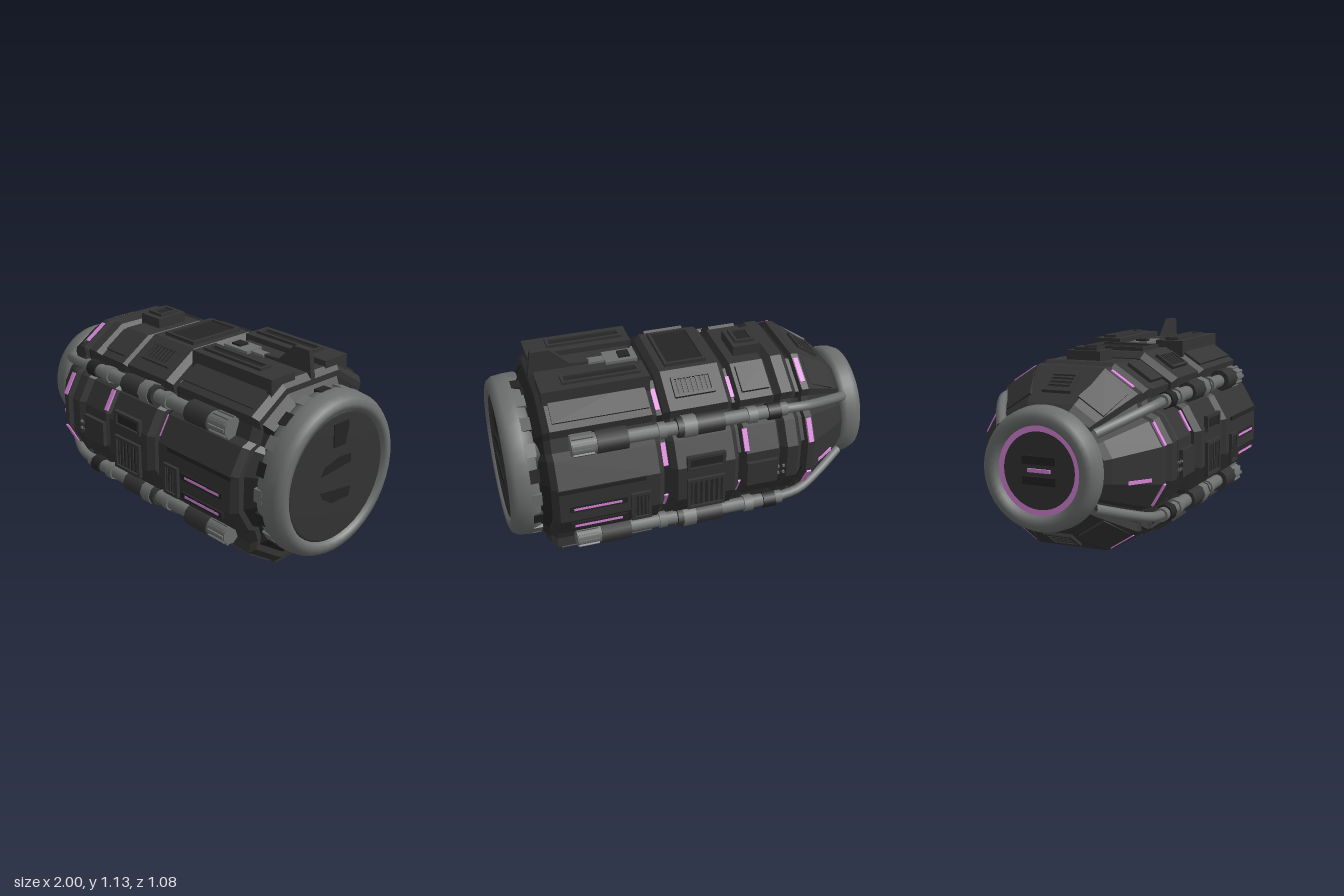
import * as THREE from 'three';

const CY = 0.515; // height of the long axis
const mk = (name, color) => Object.assign(new THREE.MeshStandardMaterial({ color }), { name });

export function createModel() {
  const root = new THREE.Group();
  root.name = 'capsule';
  const hull = mk('charcoal hull', 0x343434);
  const dark = mk('dark recess', 0x242424);
  const steel = mk('worn steel', 0x6c6f6e);
  const glow = mk('violet glow', 0xdc86dc);

  const add = (name, geo, mat, parent = root) => {
    const m = new THREE.Mesh(geo, mat);
    m.name = name;
    parent.add(m);
    return m;
  };
  const box = (name, mat, x, y, z, w, h, d, parent) => {
    const m = add(name, new THREE.BoxGeometry(w, h, d), mat, parent);
    m.position.set(x, y, z);
    return m;
  };

  // Hull cross-section: one quarter as [z, y], mirrored; the notch carries the pipes
  const quarter = [[0.525, 0.1], [0.45, 0.23], [0.405, 0.25], [0.38, 0.32], [0.39, 0.37], [0.2, 0.495]];
  const flip = [...quarter].reverse();
  const section = [
    ...quarter, ...flip.map(([z, y]) => [-z, y]),
    ...quarter.map(([z, y]) => [-z, -y]), ...flip.map(([z, y]) => [z, -y]),
  ];

  // Loft the section through stations [x, scale], capped and faceted
  function loft(name, mat, stations) {
    const n = section.length, pos = [], idx = [];
    for (const [x, s] of stations) for (const [z, y] of section) pos.push(x, CY + y * s, z * s);
    for (let k = 0; k < stations.length - 1; k++) {
      for (let i = 0; i < n; i++) {
        const a = k * n + i, b = k * n + (i + 1) % n;
        idx.push(a, b, a + n, b, b + n, a + n);
      }
    }
    const c0 = pos.length / 3, last = (stations.length - 1) * n;
    pos.push(stations[0][0], CY, 0, stations.at(-1)[0], CY, 0);
    for (let i = 0; i < n; i++) {
      const j = (i + 1) % n;
      idx.push(c0, j, i, c0 + 1, last + i, last + j);
    }
    // the section turns from +z to +y, so reverse to face outward
    for (let i = 0; i < idx.length; i += 3) [idx[i + 1], idx[i + 2]] = [idx[i + 2], idx[i + 1]];
    const g = new THREE.BufferGeometry();
    g.setAttribute('position', new THREE.Float32BufferAttribute(pos, 3));
    g.setIndex(idx);
    const flat = g.toNonIndexed();
    // check the signed volume once so faces always point outward
    const p = flat.attributes.position, v = [0, 1, 2].map(() => new THREE.Vector3());
    let vol = 0;
    for (let i = 0; i < p.count; i += 3) {
      v.forEach((q, k) => q.fromBufferAttribute(p, i + k));
      vol += v[0].dot(v[1].clone().cross(v[2]));
    }
    if (vol < 0) {
      for (let i = 0; i < p.count; i += 3) {
        v.forEach((q, k) => q.fromBufferAttribute(p, i + k));
        p.setXYZ(i + 1, v[2].x, v[2].y, v[2].z);
        p.setXYZ(i + 2, v[1].x, v[1].y, v[1].z);
      }
    }
    flat.computeVertexNormals();
    return add(name, flat, mat);
  }

  const band = (name, x0, x1, s, b = 0.03) =>
    loft(name, hull, [[x0, s - 0.06], [x0 + b, s], [x1 - b, s], [x1, s - 0.06]]);
  loft('innerCore', dark, [[-0.86, 0.58], [-0.62, 0.87], [-0.2, 0.88], [0.8, 0.88], [0.84, 0.78]]);
  loft('noseCone', hull, [[-0.87, 0.56], [-0.84, 0.62], [-0.62, 0.93], [-0.58, 0.94], [-0.575, 0.88]]);
  band('frontBand', -0.55, -0.43, 0.96);
  band('frontSection', -0.435, -0.215, 0.94, 0.02);
  band('middleSection', -0.19, 0.18, 1);
  band('rearSection', 0.215, 0.8, 1, 0.03);

  // Anchor on the hull: angle a from +z towards +y, distance r, sideways offset, tilt along x
  function anchor(name, x, a, r, off = 0, tilt = 0) {
    const g = new THREE.Group(), inner = new THREE.Group();
    g.name = name;
    g.position.set(x, CY + r * Math.sin(a) + off * Math.cos(a), r * Math.cos(a) - off * Math.sin(a));
    g.rotation.x = -a;
    inner.rotation.y = -tilt;
    g.add(inner);
    root.add(g);
    return inner;
  }
  const plate = (name, mat, x, a, r, off, w, h, t = 0.01, tilt = 0) =>
    box(name, mat, 0, 0, 0, w, h, t, anchor(name, x, a, r, off, tilt));
  function frame(name, x, a, r, off, w, h, tilt = 0, slats = 0) {
    const g = anchor(name, x, a, r, off, tilt), e = 0.016;
    box('recess', dark, 0, 0, 0, w, h, 0.008, g);
    for (const s of [-1, 1]) {
      box('rim', hull, s * w / 2, 0, 0.004, e, h + e, 0.022, g);
      box('rim', hull, 0, s * h / 2, 0.004, w, e, 0.022, g);
    }
    for (let i = 0; i < slats; i++) box('slat', hull, ((i + 0.5) / slats - 0.5) * w * 0.9, 0, 0.004, w * 0.4 / slats, h * 0.85, 0.012, g);
  }

  // Side panels, mirrored front and back (a = 0 or PI; k keeps offsets upright)
  const SH = 0.99, FL = 0.523; // shoulder and flank face angles
  for (const k of [1, -1]) {
    const a = k > 0 ? 0 : Math.PI;
    frame('sideVent', 0, a, 0.527, -0.065 * k, 0.19, 0.17, 0, 6);
    frame('sideHatch', 0, a, 0.523, 0.125 * k, 0.19, 0.07);
    frame('rearVent', 0.35, a, 0.527, -0.075 * k, 0.09, 0.15, 0, 4);
    for (const y of [-0.025, -0.13]) {
      plate('glowSlotFrame', dark, 0.57, a, 0.522, y * k, 0.3, 0.035, 0.02);
      plate('glowSlot', glow, 0.575, a, 0.529, y * k, 0.25, 0.014, 0.009);
    }
    plate('rearRail', dark, 0.55, a, 0.52, 0.09 * k, 0.46, 0.022, 0.025);
    plate('frontBlock', hull, -0.32, a, 0.495, -0.03 * k, 0.17, 0.14, 0.04);
    for (let i = 0; i < 4; i++) plate('rivet', steel, -0.44 + (i % 2) * 0.03, a, 0.508, (-0.055 + 0.04 * (i >> 1)) * k, 0.012, 0.012, 0.012);
    plate('noseGlow', glow, -0.72, a, 0.416, -0.065 * k, 0.13, 0.018, 0.009, 0.6);

    // Shoulders and flanks, mirrored above and below
    for (const u of [1, -1]) {
      const at = (q) => (k > 0 ? u * q : Math.PI - u * q), m = k * u;
      frame('shoulderVent', 0, at(SH), 0.526, 0, 0.2, 0.1, 0, 7);
      plate('shoulderPanel', hull, -0.33, at(SH), 0.495, 0, 0.15, 0.15, 0.03);
      plate('rearShoulderPanel', hull, 0.5, at(SH), 0.525, 0, 0.5, 0.17, 0.02);
      plate('shoulderGlow', glow, -0.203, at(SH), 0.466, -0.02 * m, 0.03, 0.12, 0.01);
      plate('shoulderGlow', glow, 0.198, at(SH), 0.466, -0.02 * m, 0.026, 0.12, 0.01);
      plate('noseGlow', glow, -0.598, at(SH), 0.49, 0, 0.026, 0.14, 0.009);
      plate('flankGlow', glow, -0.598, at(FL), 0.477, -0.1 * m, 0.026, 0.13, 0.009);
      plate('flankGlow', glow, 0.198, at(FL), 0.45, -0.09 * m, 0.026, 0.12, 0.01);
      plate('flankGlow', glow, u > 0 ? -0.238 : -0.203, at(FL), u > 0 ? 0.476 : 0.45, -0.09 * m, 0.026, 0.12, 0.01);
      plate('noseShoulderPanel', hull, -0.72, at(SH), 0.411, 0, 0.2, 0.16, 0.015, 0.6);

      // Pipe run in the hull notch
      const y = CY + u * 0.29, z = k * 0.425;
      const tube = (name, mat, x0, x1, r, seg = 12) => {
        const c = add(name, new THREE.CylinderGeometry(r, r, x1 - x0, seg), mat);
        c.rotation.z = -Math.PI / 2;
        c.position.set((x0 + x1) / 2, y, z);
      };
      tube('pipe', steel, -0.47, 0.4, 0.036);
      tube('pipeCollar', dark, -0.43, -0.36, 0.046, 8);
      tube('pipeCollar', steel, -0.3, -0.25, 0.046, 8);
      tube('pipeSleeve', hull, -0.12, 0.13, 0.055, 8);
      tube('pipeClamp', steel, 0.03, 0.1, 0.06, 8);
      tube('pipeCollar', steel, 0.19, 0.23, 0.045);
      tube('thrusterSleeve', hull, 0.39, 0.55, 0.062, 10);
      tube('thrusterTip', steel, 0.54, 0.68, 0.052, 16);
      for (let i = 0; i < 10; i++) {
        const t = i * Math.PI / 5;
        const rib = box('thrusterRib', steel, 0.62, y + 0.053 * Math.sin(t), z + 0.053 * Math.cos(t), 0.11, 0.014, 0.014);
        rib.rotation.x = -t;
      }
      const path = new THREE.CatmullRomCurve3([[-0.45, 0.29, 0.425], [-0.58, 0.275, 0.41], [-0.72, 0.235, 0.345], [-0.88, 0.18, 0.25]]
        .map(([px, py, pz]) => new THREE.Vector3(px, CY + u * py, k * pz)));
      add('nosePipe', new THREE.TubeGeometry(path, 12, 0.026, 8), steel);
    }

    // Roof blocks and swept fins
    box('roofBlock', hull, 0.5, 0.995, k * 0.19, 0.56, 0.09, 0.16);
    frame('roofBlockInset', 0.46, Math.PI / 2, 0.525, -k * 0.19, 0.39, 0.06);
    const fin = new THREE.Group();
    fin.name = 'sweptFin';
    fin.position.set(0, 0.885, k * 0.33);
    fin.rotation.x = k * 0.45;
    const finGeo = (pts, d) => new THREE.ExtrudeGeometry(new THREE.Shape(pts.map(([px, py]) => new THREE.Vector2(px, py))),
      { depth: d, bevelEnabled: false }).translate(0, 0, -d / 2);
    add('finBlade', finGeo([[0.4, 0], [0.8, 0], [0.78, 0.06], [0.8, 0.3], [0.66, 0.3], [0.55, 0.13]], 0.026), hull, fin);
    add('finInset', finGeo([[0.58, 0.06], [0.75, 0.06], [0.765, 0.26], [0.69, 0.26]], 0.032), dark, fin);
    box('finRoot', hull, 0.6, 0.01, 0, 0.36, 0.04, 0.06, fin);
    box('finGlow', glow, 0.68, 0.035, k * 0.018, 0.11, 0.014, 0.009, fin);
    if (k > 0) add('centreFin', finGeo([[0.44, 0.98], [0.8, 0.98], [0.78, 1.125], [0.68, 1.125], [0.58, 1.03], [0.44, 1.02]], 0.028), hull);
  }

  // Roof and belly fittings
  const UP = Math.PI / 2;
  for (const a of [UP, -UP]) {
    frame('hatch', 0, a, 0.5, 0, 0.21, 0.32);
    frame('noseVent', -0.725, a, 0.388, 0, 0.12, 0.14, 0.58, 4);
  }
  plate('bellyPanel', hull, 0.5, -UP, 0.5, 0, 0.52, 0.38, 0.03);
  frame('bellyInset', 0.5, -UP, 0.504, 0, 0.4, 0.2);
  box('roofBox', hull, -0.355, 0.995, -0.025, 0.15, 0.08, 0.19);
  frame('roofBoxInset', -0.355, UP, 0.521, 0.025, 0.09, 0.11);
  box('antennaBase', steel, 0.31, 1, 0, 0.17, 0.05, 0.11);
  box('antennaHead', dark, 0.29, 1.02, 0, 0.06, 0.03, 0.06);
  box('antennaNeck', steel, 0.42, 1.005, 0, 0.12, 0.035, 0.05);

  // End rings: profiles are [radius, x], turned round the long axis
  function turned(name, mat, pts, seg = 40) {
    const m = add(name, new THREE.LatheGeometry(pts.map(([r, x]) => new THREE.Vector2(r, x)), seg), mat);
    m.rotation.z = -Math.PI / 2;
    m.position.y = CY;
    return m;
  }
  turned('rearNeck', dark, [[0.4, 0.78], [0.4, 0.85]]);
  turned('rearRing', steel, [[0.38, 0.84], [0.425, 0.85], [0.437, 0.9], [0.43, 0.96], [0.41, 0.99], [0.38, 1], [0.355, 0.995], [0.345, 0.96]]);
  turned('rearDisc', hull, [[0.35, 0.972], [0.335, 0.985], [0, 0.985]]);
  turned('noseRing', steel, [[0.215, -0.95], [0.225, -0.99], [0.26, -1], [0.29, -0.985], [0.305, -0.95], [0.31, -0.9], [0.295, -0.87], [0.25, -0.86]]);
  turned('noseGlowRing', glow, [[0.19, -0.965], [0.222, -0.965]]).material.name = 'violet glow';
  turned('noseDisc', hull, [[0, -0.962], [0.23, -0.962]]);
  for (const y of [-0.05, 0.05]) box('noseSlot', dark, -0.965, CY + y, 0, 0.012, 0.04, 0.18);
  box('noseSlotGlow', glow, -0.967, CY, 0, 0.009, 0.018, 0.12);
  for (let i = 0; i < 20; i++) {
    const t = i * Math.PI / 10;
    const lug = box('rearRingLug', i % 2 ? dark : steel, 0.865, CY + 0.425 * Math.sin(t), 0.425 * Math.cos(t), 0.05, 0.07, 0.02);
    lug.rotation.x = -t;
  }

  // Shallow marks on the rear disc, as [z, y] outlines
  const marks = [
    [[0.045, 0.81], [-0.06, 0.81], [-0.065, 0.78], [-0.045, 0.685], [0.04, 0.685]],
    [[0.12, 0.555], [0.09, 0.6], [-0.01, 0.625], [-0.09, 0.62], [-0.095, 0.575]],
    [[0.12, 0.465], [-0.1, 0.435], [-0.09, 0.385], [0.04, 0.385], [0.1, 0.425]],
  ];
  for (const pts of marks) {
    const g = new THREE.ExtrudeGeometry(new THREE.Shape(pts.map(([z, y]) => new THREE.Vector2(-z, y))), { depth: 0.008, bevelEnabled: false });
    const m = add('discPanel', g, dark);
    m.rotation.y = Math.PI / 2;
    m.position.x = 0.982;
  }
  return root;
}
